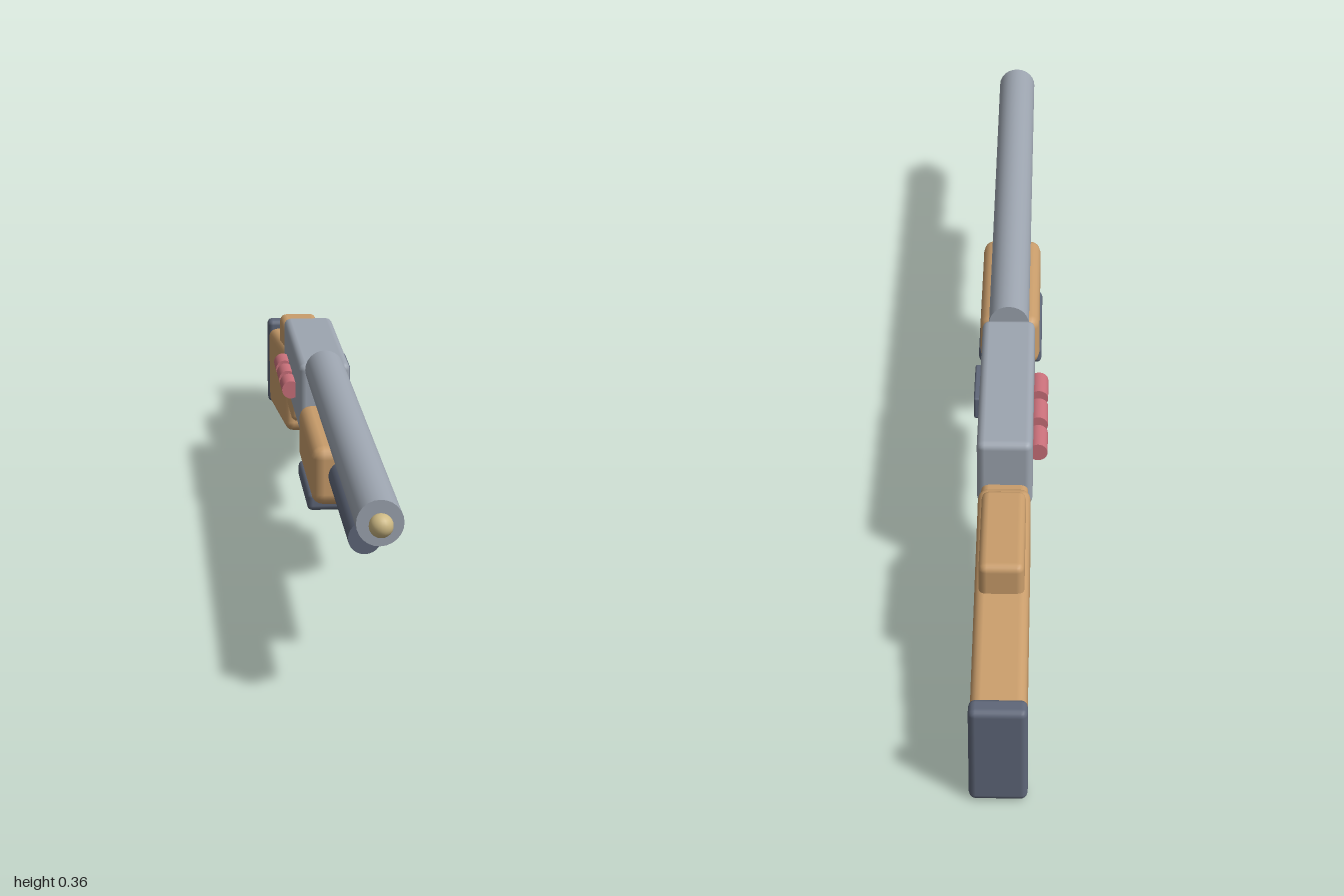
import * as THREE from 'three';
import { RoundedBoxGeometry } from 'three/addons/geometries/RoundedBoxGeometry.js';

const CX = 0.006; // centre line of the barrel and body

function material(name, color) {
  const m = new THREE.MeshStandardMaterial({ color });
  m.name = name;
  return m;
}

export function createModel() {
  const group = new THREE.Group();
  group.name = 'shotgun';
  const steel = material('steel', 0x9da5b0);
  const darkSteel = material('darkSteel', 0x5f6779);
  const wood = material('wood', 0xc99d6b);
  const red = material('shellRed', 0xc9707a);
  const brass = material('brass', 0xcdb984);

  function add(name, geometry, mat, x, y, z) {
    const mesh = new THREE.Mesh(geometry, mat);
    mesh.name = name;
    mesh.position.set(x, y, z);
    group.add(mesh);
    return mesh;
  }
  // softened block given by its size and centre
  const block = (name, mat, [w, h, d], r, [x, y, z]) =>
    add(name, new RoundedBoxGeometry(w, h, d, 2, r), mat, x, y, z);
  // rod along z between two ends
  const rod = (name, mat, r, x, y, z0, z1) =>
    add(name, new THREE.CylinderGeometry(r, r, z1 - z0, 24).rotateX(Math.PI / 2), mat, x, y, (z0 + z1) / 2);

  // barrel, sight bead and magazine tube
  rod('barrel', steel, 0.039, CX, 0.323, -0.02, 0.967);
  add('sightBead', new THREE.SphereGeometry(0.02, 20, 14), brass, CX, 0.323, 0.98);
  rod('magazineTube', darkSteel, 0.029, CX, 0.223, -0.03, 0.74);

  // sliding fore-end with its grip plate
  block('foreEnd', wood, [0.118, 0.113, 0.318], 0.023, [CX, 0.22, 0.219]);
  block('foreEndPlate', darkSteel, [0.127, 0.036, 0.222], 0.01, [CX, 0.159, 0.219]);

  // receiver with ejection port
  block('receiver', steel, [0.102, 0.142, 0.414], 0.014, [CX, 0.263, -0.226]);
  block('ejectionPort', darkSteel, [0.02, 0.046, 0.115], 0.004, [0.058, 0.278, -0.186]);

  // spare shells on the other side
  for (let i = 0; i < 3; i++) {
    const z = -0.148 - i * 0.086;
    rod('spareShell' + (i + 1), red, 0.018, -0.054, 0.257, z - 0.031, z + 0.031);
  }

  // trigger guard: lower half ring in the side plane
  const guard = new THREE.TorusGeometry(0.061, 0.016, 12, 24, Math.PI);
  guard.rotateZ(Math.PI).rotateY(Math.PI / 2);
  add('triggerGuard', guard, darkSteel, CX, 0.19, -0.342);

  // wrist, sloping stock, cheek rest and butt pad
  block('wrist', wood, [0.086, 0.115, 0.17], 0.014, [CX, 0.186, -0.415]);
  const stock = block('stock', wood, [0.096, 0.178, 0.522], 0.018, [CX, 0.132, -0.699]);
  stock.rotation.x = -0.145;
  block('cheekRest', wood, [0.08, 0.085, 0.224], 0.014, [CX, 0.236, -0.602]);
  block('buttPad', darkSteel, [0.1, 0.2, 0.04], 0.012, [CX, 0.103, -0.98]);

  return group;
}
